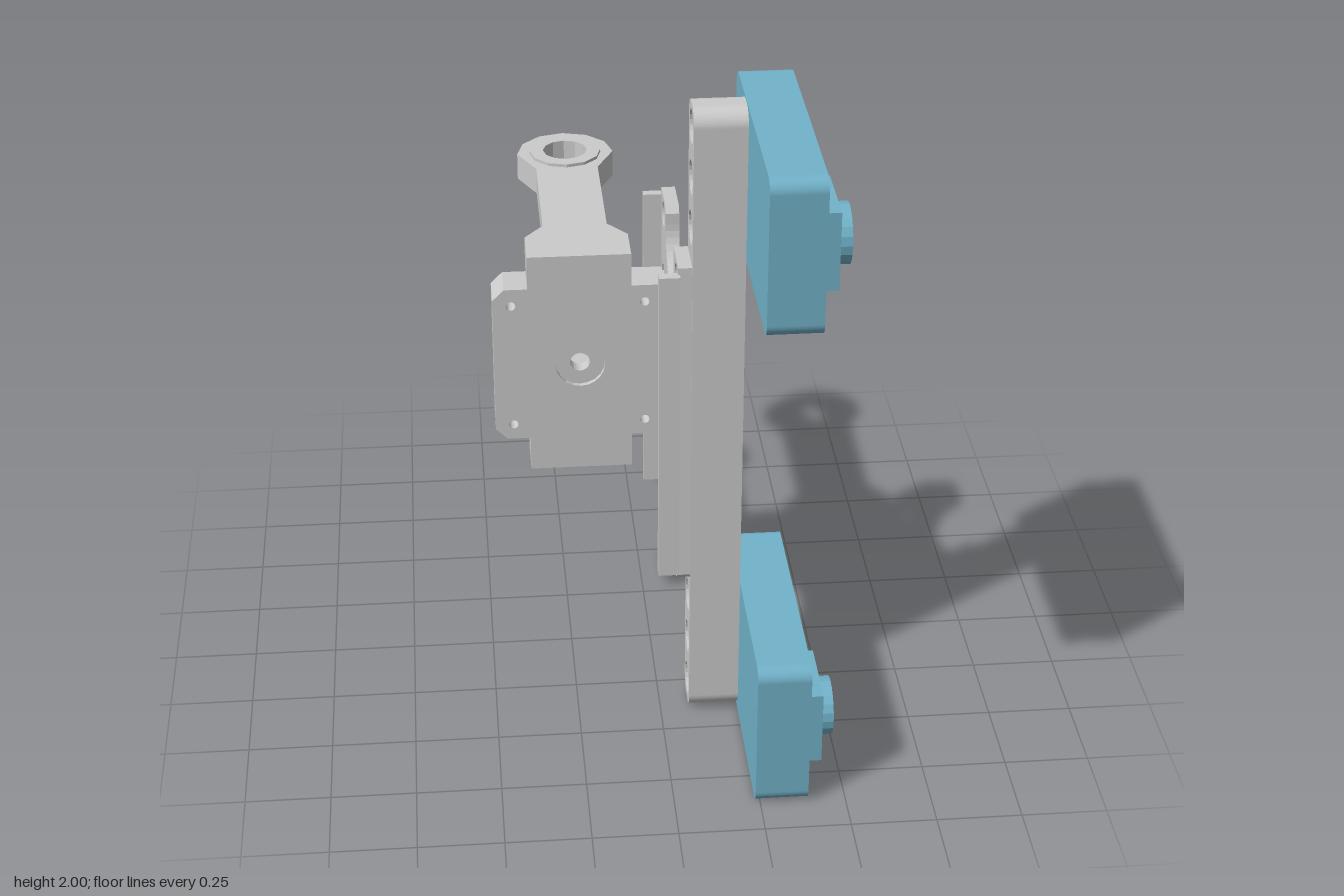
import * as THREE from 'three';

const grey = new THREE.MeshStandardMaterial({ color: 0xcccccc });
const blue = new THREE.MeshStandardMaterial({ color: 0x72b2ca });
const black = new THREE.MeshStandardMaterial({ color: 0x0c0c0c });

function add(parent, name, geometry, material = grey) {
  const mesh = new THREE.Mesh(geometry, material);
  mesh.name = name;
  parent.add(mesh);
  return mesh;
}

const polygon = (points) => new THREE.Shape(points.map(([x, y]) => new THREE.Vector2(x, y)));

function roundedRect(x0, y0, x1, y1, r) {
  const s = new THREE.Shape();
  s.absarc(x1 - r, y1 - r, r, 0, Math.PI / 2);
  s.absarc(x0 + r, y1 - r, r, Math.PI / 2, Math.PI);
  s.absarc(x0 + r, y0 + r, r, Math.PI, Math.PI * 1.5);
  s.absarc(x1 - r, y0 + r, r, Math.PI * 1.5, Math.PI * 2);
  s.closePath();
  return s;
}

function drill(shape, x, y, r) {
  shape.holes.push(new THREE.Path().absarc(x, y, r, 0, Math.PI * 2, true));
  return shape;
}

const extrude = (shape, depth, curveSegments = 10) =>
  new THREE.ExtrudeGeometry(shape, { depth, bevelEnabled: false, curveSegments });

// Shape drawn as (-z, y), thickness from x0 to x1
const alongX = (shape, x0, x1) => extrude(shape, x1 - x0).rotateY(Math.PI / 2).translate(x0, 0, 0);
// Shape drawn as (x, -z), thickness from y0 to y1
const alongY = (shape, y0, y1, seg) => extrude(shape, y1 - y0, seg).rotateX(-Math.PI / 2).translate(0, y0, 0);
// Shape drawn as (x, y), thickness from z0 to z1
const alongZ = (shape, z0, z1) => extrude(shape, z1 - z0).translate(0, 0, z0);

function box(x0, x1, y0, y1, z0, z1) {
  return new THREE.BoxGeometry(x1 - x0, y1 - y0, z1 - z0)
    .translate((x0 + x1) / 2, (y0 + y1) / 2, (z0 + z1) / 2);
}

// Long bar with a row of thirteen holes
function makeBeam(parent) {
  const shape = roundedRect(-0.42, 0.01, -0.28, 1.995, 0.05);
  for (let i = 0; i < 13; i++) drill(shape, -0.35, 0.08 + i * 0.1538, 0.05);
  add(parent, 'beam', alongX(shape, 0.085, 0.235));
}

// Sensor block with mounting holes, square base and round lens
function makeSensor(name, y0, y1, lensY, holes) {
  const g = new THREE.Group();
  g.name = name;
  const body = roundedRect(-0.885, y0, -0.12, y1, 0.04);
  holes.forEach((y) => drill(body, -0.35, y, 0.05));
  add(g, 'sensorBody', alongX(body, 0.235, 0.39), blue);
  add(g, 'lensBase', box(0.39, 0.43, lensY - 0.114, lensY + 0.114, 0.62, 0.85), blue);
  const ring = drill(new THREE.Shape().absarc(-0.735, lensY, 0.085, 0, Math.PI * 2), -0.735, lensY, 0.067);
  add(g, 'lensRing', alongX(ring, 0.43, 0.467), blue);
  const glass = new THREE.CylinderGeometry(0.067, 0.067, 0.032, 32).rotateZ(-Math.PI / 2);
  add(g, 'lensGlass', glass, black).position.set(0.446, lensY, 0.735);
  return g;
}

// U-channel: notched, drilled web and two flanges
function makeChannel() {
  const g = new THREE.Group();
  g.name = 'channel';
  const s = new THREE.Shape();
  const c = 0.02;
  const top = 1.52, bottom = 0.49;
  s.moveTo(-0.43, bottom + c);
  s.lineTo(-0.43 + c, bottom);
  s.lineTo(-0.272, bottom);
  s.absarc(-0.145, 0.54, 0.127, Math.PI, 0, true);
  s.lineTo(-0.018, bottom + c);
  s.lineTo(0, bottom);
  s.lineTo(0.145 - c, bottom);
  s.lineTo(0.145, bottom + c);
  s.lineTo(0.145, top - c);
  s.lineTo(0.145 - c, top);
  s.lineTo(0, top);
  s.lineTo(-0.018, top - c);
  s.absarc(-0.145, 1.465, 0.127, 0, Math.PI, true);
  s.lineTo(-0.272, top);
  s.lineTo(-0.43 + c, top);
  s.closePath();
  for (const y of [0.54, 0.75, 0.945, 1.06, 1.26, 1.465]) {
    drill(s, -0.35, y, 0.038);
    drill(s, 0.055, y, 0.038);
  }
  add(g, 'web', alongX(s, 0.045, 0.085));
  add(g, 'frontFlange', box(-0.01, 0.05, bottom + c, top - c, 0.398, 0.43));
  add(g, 'backFlange', box(-0.01, 0.05, bottom + c, top - c, -0.145, -0.118));
  return g;
}

// Outline of the yoke plate, with its corner screw holes
function plateShape() {
  const s = polygon([
    [-0.365, 0.64], [-0.055, 0.64], [-0.055, 0.75], [0.05, 0.75], [0.05, 1.26], [-0.055, 1.26],
    [-0.055, 1.365], [-0.365, 1.365], [-0.365, 1.26], [-0.435, 1.26], [-0.47, 1.225],
    [-0.47, 0.785], [-0.435, 0.75], [-0.365, 0.75],
  ]);
  for (const x of [-0.415, -0.015]) for (const y of [0.8, 1.205]) drill(s, x, y, 0.014);
  return s;
}

// Fork arm with a faceted round end
function armShape(holeRadius) {
  const cx = -0.21;
  const points = [[cx - 0.155, 0.11], [cx + 0.155, 0.11], [cx + 0.155, 0.135], [cx + 0.097, 0.21], [cx + 0.097, 0.62]];
  for (let i = 0; i <= 6; i++) {
    const a = (i * Math.PI) / 6;
    points.push([cx + 0.152 * Math.cos(a), 0.735 + 0.152 * Math.sin(a)]);
  }
  points.push([cx - 0.097, 0.62], [cx - 0.097, 0.21], [cx - 0.155, 0.135]);
  return drill(polygon(points), cx, 0.735, holeRadius);
}

function makeYoke() {
  const g = new THREE.Group();
  g.name = 'yoke';
  // Plate in three layers: round front recess, small bore, square back pocket
  add(g, 'plateFront', alongZ(drill(plateShape(), -0.21, 1, 0.075), -0.015, 0));
  add(g, 'plateMiddle', alongZ(drill(plateShape(), -0.21, 1, 0.03), -0.06, -0.015));
  const back = plateShape();
  back.holes.push(new THREE.Path([[-0.3, 0.9], [-0.3, 1.1], [-0.12, 1.1], [-0.12, 0.9]]
    .map(([x, y]) => new THREE.Vector2(x, y))));
  add(g, 'plateBack', alongZ(back, -0.12, -0.06));

  // Arms with raised washers on their outer faces
  add(g, 'upperArm', alongY(armShape(0.07), 1.28, 1.365, 6));
  add(g, 'lowerArm', alongY(armShape(0.03), 0.64, 0.725, 6));
  for (const [name, y] of [['upperWasher', 1.365], ['lowerWasher', 0.63]]) {
    const ring = drill(new THREE.Shape().absarc(-0.21, 0.735, 0.113, 0, Math.PI * 2), -0.21, 0.735, 0.07);
    add(g, name, alongY(ring, y, y + 0.01, 6));
  }
  return g;
}

export function createModel() {
  const model = new THREE.Group();
  model.name = 'sensorBracket';
  makeBeam(model);
  model.add(makeSensor('upperSensor', 1.54, 2, 1.775, [1.615, 1.925]));
  model.add(makeSensor('lowerSensor', 0, 0.465, 0.235, [0.08, 0.39]));
  model.add(makeChannel());
  model.add(makeYoke());
  return model;
}
